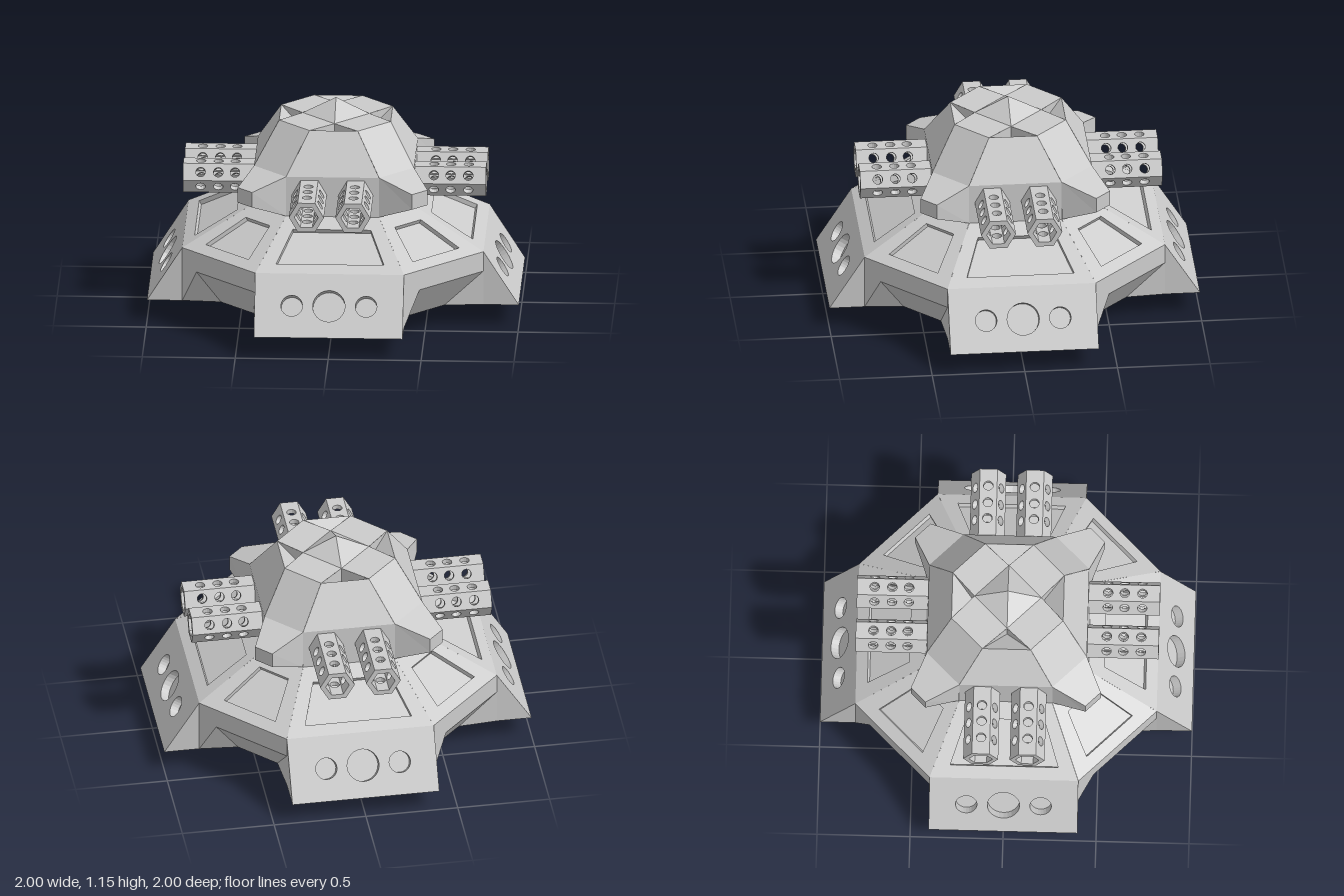
import * as THREE from 'three';

const material = new THREE.MeshStandardMaterial({ color: 0xcccccc, flatShading: true, side: THREE.DoubleSide });

// Flat-faced mesh from a list of convex polygons
function polyMesh(name, polys) {
  const pos = [];
  for (const p of polys) {
    for (let i = 1; i < p.length - 1; i++) pos.push(...p[0], ...p[i], ...p[i + 1]);
  }
  const geo = new THREE.BufferGeometry();
  geo.setAttribute('position', new THREE.Float32BufferAttribute(pos, 3));
  geo.computeVertexNormals();
  const mesh = new THREE.Mesh(geo, material);
  mesh.name = name;
  return mesh;
}

// Symmetric quad between two horizontal edges: half width, height, distance
const quad = ([h0, y0, z0], [h1, y1, z1]) =>
  [[-h0, y0, z0], [h0, y0, z0], [h1, y1, z1], [-h1, y1, z1]];
const mirror = (poly) => poly.map(([x, y, z]) => [-x, y, z]).reverse();
const both = (poly) => [poly, mirror(poly)];

// Sloped face between two edges, with sunken pockets given in face coordinates
function pocketedFace([h0, y0, z0], [h1, y1, z1], holes, depth) {
  const len = Math.hypot(y1 - y0, z1 - z0);
  const vy = (y1 - y0) / len, vz = (z1 - z0) / len;
  const at = (p, d = 0) => [p.x, y0 + vy * p.y + vz * d, z0 + vz * p.y - vy * d];
  const outline = [[-h0, 0], [h0, 0], [h1, len], [-h1, len]].map((p) => new THREE.Vector2(...p));
  const all = [...outline, ...holes.flat()];
  const polys = THREE.ShapeUtils.triangulateShape(outline, holes).map((t) => t.map((i) => at(all[i])));
  for (const hole of holes) {
    hole.forEach((p, i) => {
      const q = hole[(i + 1) % hole.length];
      polys.push([at(p), at(q), at(q, depth), at(p, depth)]);
    });
    polys.push(hole.map((p) => at(p, depth)));
  }
  return polys;
}

const trapezoid = (h0, v0, h1, v1) =>
  [[-h0, v0], [h0, v0], [h1, v1], [-h1, v1]].map((p) => new THREE.Vector2(...p));
const disc = (x, y, r) => Array.from({ length: 24 }, (_, i) => {
  const a = (i / 24) * Math.PI * 2;
  return new THREE.Vector2(x + r * Math.cos(a), y + r * Math.sin(a));
});

// Hexagonal barrel: six perforated walls around an open bore, pointing along +z
function createGun() {
  const gun = new THREE.Group();
  gun.name = 'gun';
  const length = 0.39, side = 0.094, apothem = side * Math.sqrt(3) / 2, wall = 0.026;
  const shape = new THREE.Shape();
  shape.moveTo(-side / 2, 0);
  shape.lineTo(side / 2, 0);
  shape.lineTo(side / 2, length);
  shape.lineTo(-side / 2, length);
  for (const z of [0.11, 0.2, 0.295]) {
    shape.holes.push(new THREE.Path().absarc(0, z, 0.026, 0, Math.PI * 2, true));
  }
  const geo = new THREE.ExtrudeGeometry(shape, { depth: wall, bevelEnabled: false, curveSegments: 7 });
  // Mitre the inner edges so that the walls meet in a clean hexagon
  const pos = geo.attributes.position;
  for (let i = 0; i < pos.count; i++) {
    if (pos.getZ(i) < wall / 2 && Math.abs(pos.getX(i)) > side / 2 - 0.001) {
      pos.setX(i, Math.sign(pos.getX(i)) * (apothem - wall) / Math.sqrt(3));
    }
  }
  geo.rotateX(Math.PI / 2).scale(1, -1, 1).translate(0, 0, 0);
  // The mirrored wall needs its corner order turned round
  for (let i = 0; i < pos.count; i += 3) {
    const a = new THREE.Vector3().fromBufferAttribute(pos, i + 1);
    const b = new THREE.Vector3().fromBufferAttribute(pos, i + 2);
    pos.setXYZ(i + 1, b.x, b.y, b.z);
    pos.setXYZ(i + 2, a.x, a.y, a.z);
  }
  geo.computeVertexNormals();
  geo.translate(0, apothem - wall, 0);
  for (let i = 0; i < 6; i++) {
    const plate = new THREE.Mesh(geo, material);
    plate.name = 'barrelWall';
    plate.rotation.z = i * Math.PI / 3;
    gun.add(plate);
  }
  return gun;
}

// Straight side of the base and turret, facing +z
function createFrontSector() {
  const g = new THREE.Group();
  g.name = 'straightSide';
  g.add(polyMesh('deckPanel', pocketedFace([0.4, 0.42, 0.81], [0.25, 0.62, 0.44],
    [trapezoid(0.29, 0.07, 0.21, 0.325)], 0.025)));
  g.add(polyMesh('skirtPanel', [
    ...pocketedFace([0.4, 0.12, 1], [0.4, 0.42, 0.81],
      [disc(-0.2, 0.177, 0.058), disc(0, 0.177, 0.087), disc(0.2, 0.177, 0.058)], 0.05),
    ...both([[0.4, 0.12, 1], [0.4, 0.12, 0.81], [0.4, 0.42, 0.81]]),
    quad([0.4, 0.12, 0.81], [0.4, 0.12, 1]),
    quad([0.2485, 0.12, 0.6], [0.4, 0.12, 0.81]),
  ]));
  g.add(polyMesh('turretSide', [
    quad([0.25, 0.62, 0.44], [0.25, 0.84, 0.43]),
    quad([0.25, 0.84, 0.43], [0.13, 1.06, 0.3]),
  ]));
  // Triangular notch sloping in from the roof edge
  g.add(polyMesh('roofNotch', [
    [[-0.13, 1.06, 0.3], [0.13, 1.06, 0.3], [0, 0.97, 0.18]],
    ...both([[0.13, 1.06, 0.3], [0, 1.06, 0.18], [0, 0.97, 0.18]]),
  ]));
  for (const x of [-0.125, 0.125]) {
    const gun = createGun();
    gun.position.set(x, 0.74, 0.425);
    g.add(gun);
  }
  return g;
}

// Corner side, modelled facing +z and later turned by 45 degrees
function createCornerSector() {
  const g = new THREE.Group();
  g.name = 'cornerSide';
  const rim = [0.29, 0.42, 0.856], deckTop = [0.134, 0.62, 0.488];
  g.add(polyMesh('cornerDeckPanel', pocketedFace(rim, deckTop, [trapezoid(0.17, 0.07, 0.095, 0.325)], 0.025)));
  // Band with a tapered hollow cut in beneath it
  const band = [0.29, 0.31, 0.856], top = [0.177, 0.31, 0.856];
  const low = [0.13, 0.12, 0.72], foot = [0.29, 0.12, 0.856], hull = [0.2485, 0.12, 0.6];
  g.add(polyMesh('cornerSkirt', [
    quad(band, rim),
    quad(low, top),
    ...both([low, foot, band, top]),
    quad(hull, low),
    ...both([hull, foot, low]),
  ]));
  // Turret corner with a blunt wing
  const shoulder = [0.127, 0.84, 0.481], roof = [0.12, 1.06, 0.304];
  const base = quad(deckTop, shoulder), tip = quad([0.057, 0.69, 0.665], [0.057, 0.775, 0.665]);
  g.add(polyMesh('turretCorner', [base, quad(shoulder, roof), quad(roof, [0.127, 1.06, 0.127])]));
  g.add(polyMesh('cornerWing', [tip, ...base.map((b, i) => {
    const j = (i + 1) % 4;
    return [b, base[j], tip[j], tip[i]];
  })]));
  g.add(polyMesh('roofPyramid', [[[-0.127, 1.06, 0.127], [0.127, 1.06, 0.127], [0, 1.15, 0]]]));
  return g;
}

export function createModel() {
  const model = new THREE.Group();
  model.name = 'gunTurret';
  for (let i = 0; i < 4; i++) {
    const side = createFrontSector();
    side.rotation.y = i * Math.PI / 2;
    const corner = createCornerSector();
    corner.rotation.y = (i + 0.5) * Math.PI / 2;
    model.add(side, corner);
  }
  // Eight-sided belly tapering to the ground
  const belly = new THREE.Mesh(new THREE.CylinderGeometry(0.65, 0.325, 0.12, 8), material);
  belly.name = 'belly';
  belly.rotation.y = Math.PI / 8;
  belly.position.y = 0.06;
  model.add(belly);
  return model;
}
